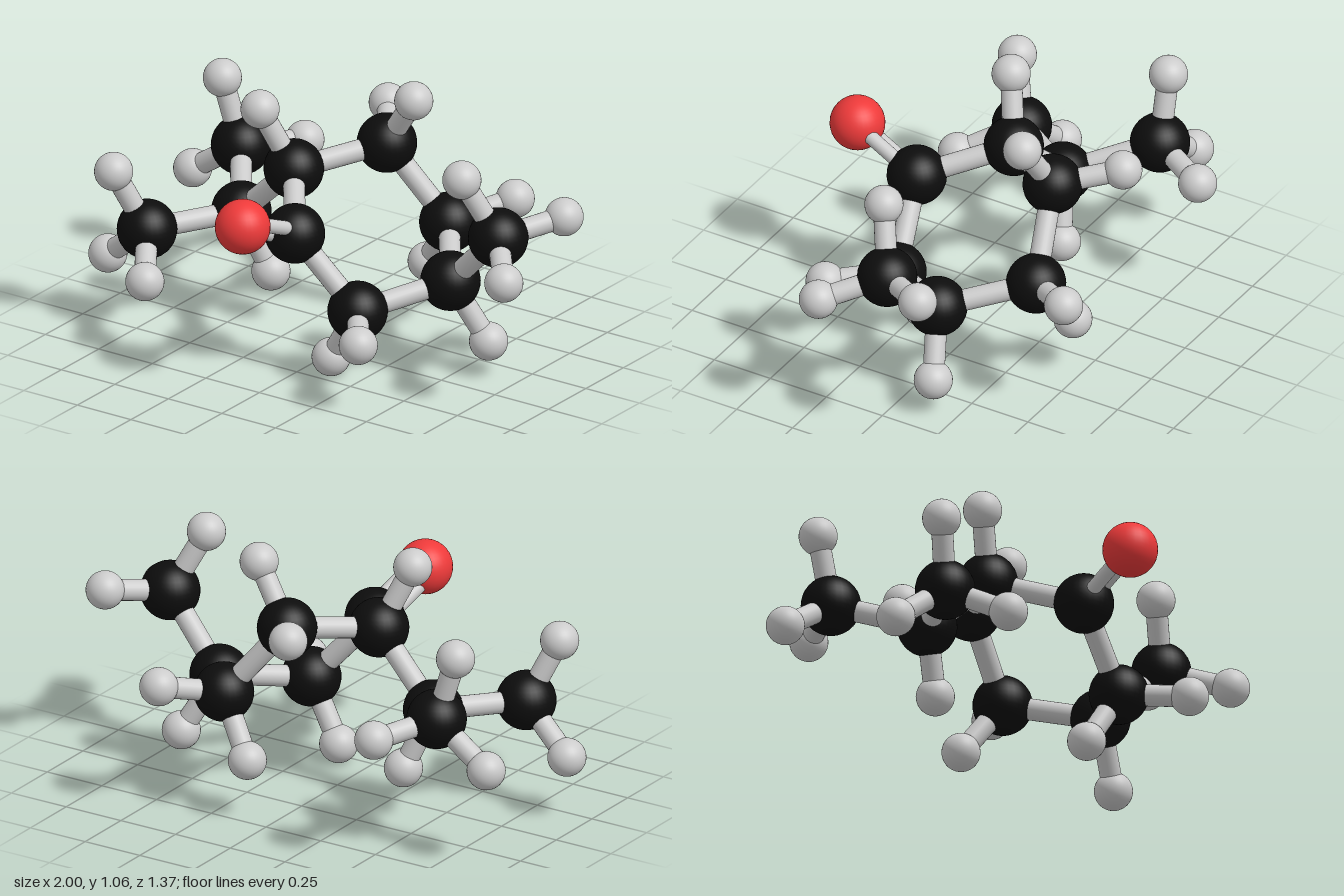
import * as THREE from 'three';

const grey = new THREE.MeshStandardMaterial({ color: 0xcccccc });
const black = new THREE.MeshStandardMaterial({ color: 0x0d0d0d });
const red = new THREE.MeshStandardMaterial({ color: 0xee3a3a });

const CARBON_R = 0.116, HYDROGEN_R = 0.075, OXYGEN_R = 0.107;
const BOND_R = 0.042, DOUBLE_BOND_R = 0.028;

// Each carbon: its position and the hydrogens attached to it
const carbons = {
  ringBridge: { at: [-0.2, 0.71, -0.015], h: [[-0.305, 0.957, 0.06]] },
  ringTop: { at: [0.02, 0.765, -0.322], h: [[0.175, 0.99, -0.28], [-0.13, 0.82, -0.545]] },
  ringBack: { at: [0.262, 0.47, -0.393], h: [[0.418, 0.53, -0.61], [0.108, 0.245, -0.465]] },
  ringLeft: { at: [0.483, 0.385, -0.085], h: [[0.617, 0.145, -0.148]] },
  ringFront: { at: [0.268, 0.315, 0.227], h: [[0.427, 0.287, 0.45], [0.123, 0.08, 0.197]] },
  ringCarbonyl: { at: [0.017, 0.597, 0.287], h: [] },
  methyl: { at: [0.75, 0.65, -0.022], h: [[0.638, 0.89, 0.06], [0.9, 0.695, -0.248], [0.92, 0.573, 0.183]] },
  branch: { at: [-0.48, 0.45, -0.065], h: [[-0.38, 0.205, -0.12]] },
  branchBack: { at: [-0.695, 0.567, -0.37], h: [[-0.775, 0.83, -0.36], [-0.93, 0.41, -0.383], [-0.568, 0.535, -0.615]] },
  branchFront: { at: [-0.7, 0.43, 0.25], h: [[-0.8, 0.672, 0.33], [-0.918, 0.26, 0.2], [-0.565, 0.315, 0.457]] },
};

const carbonBonds = [
  ['ringBridge', 'ringTop'], ['ringTop', 'ringBack'], ['ringBack', 'ringLeft'],
  ['ringLeft', 'ringFront'], ['ringFront', 'ringCarbonyl'], ['ringCarbonyl', 'ringBridge'],
  ['ringLeft', 'methyl'], ['ringBridge', 'branch'],
  ['branch', 'branchBack'], ['branch', 'branchFront'],
];

const vec = (p) => new THREE.Vector3(...p);

function ball(name, position, radius, material) {
  const mesh = new THREE.Mesh(new THREE.SphereGeometry(radius, 32, 20), material);
  mesh.name = name;
  mesh.position.copy(position);
  return mesh;
}

// Cylinder running from one atom centre to another
function rod(name, a, b, radius) {
  const dir = b.clone().sub(a);
  const mesh = new THREE.Mesh(new THREE.CylinderGeometry(radius, radius, dir.length(), 24, 1, true), grey);
  mesh.name = name;
  mesh.position.copy(a).add(b).multiplyScalar(0.5);
  mesh.quaternion.setFromUnitVectors(new THREE.Vector3(0, 1, 0), dir.normalize());
  return mesh;
}

export function createModel() {
  const model = new THREE.Group();
  model.name = 'molecule';

  // Carbons with their hydrogens
  for (const [name, { at, h }] of Object.entries(carbons)) {
    const group = new THREE.Group();
    group.name = name;
    const centre = vec(at);
    group.add(ball('carbonAtom', centre, CARBON_R, black));
    for (const p of h) {
      group.add(ball('hydrogenAtom', vec(p), HYDROGEN_R, grey));
      group.add(rod('hydrogenBond', centre, vec(p), BOND_R));
    }
    model.add(group);
  }

  // Skeleton bonds
  for (const [a, b] of carbonBonds) {
    model.add(rod('carbonBond', vec(carbons[a].at), vec(carbons[b].at), BOND_R));
  }

  // Oxygen on a double bond
  const oxygen = vec([-0.024, 0.715, 0.577]);
  const base = vec(carbons.ringCarbonyl.at);
  model.add(ball('oxygenAtom', oxygen, OXYGEN_R, red));
  const along = oxygen.clone().sub(base).normalize();
  const side = new THREE.Vector3(0.83, 0.55, 0).projectOnPlane(along).normalize();
  for (const s of [-1, 1]) {
    const offset = side.clone().multiplyScalar(s * 0.037);
    model.add(rod('doubleBond', base.clone().add(offset), oxygen.clone().add(offset), DOUBLE_BOND_R));
  }
  return model;
}
